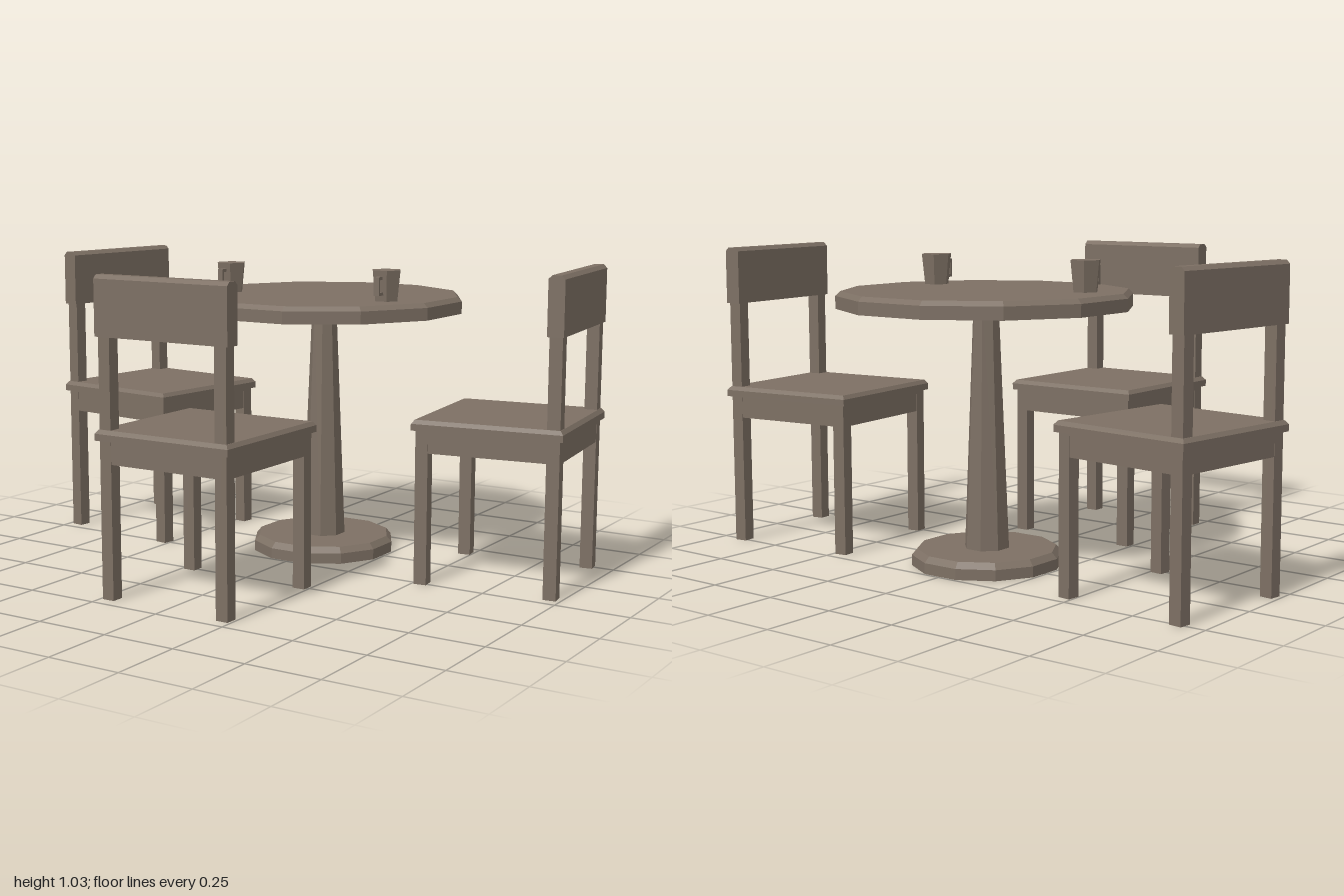
import * as THREE from 'three';

const wood = new THREE.MeshStandardMaterial({ color: 0x7d7064, flatShading: true });
wood.name = 'brown wood';

function add(parent, name, geometry, x = 0, y = 0, z = 0) {
  const mesh = new THREE.Mesh(geometry, wood);
  mesh.name = name;
  mesh.position.set(x, y, z);
  parent.add(mesh);
  return mesh;
}

// Box whose top edge is bevelled: insetX / insetZ pull in the top ring
function bevelBox(w, h, d, bevel, insetX, insetZ) {
  const g = new THREE.BoxGeometry(w, h, d, 1, 2, 1);
  const p = g.attributes.position;
  for (let i = 0; i < p.count; i++) {
    const x = p.getX(i), y = p.getY(i), z = p.getZ(i);
    if (Math.abs(y) < 1e-6) p.setY(i, h / 2 - bevel);
    else if (y > 0) p.setXYZ(i, x - Math.sign(x) * insetX, y, z - Math.sign(z) * insetZ);
  }
  g.computeVertexNormals();
  return g;
}

// Faceted solid of revolution, closed at both ends, with a flat side facing front
function faceted(profile, sides) {
  const pts = profile.map(([r, y]) => new THREE.Vector2(r / Math.cos(Math.PI / sides), y));
  pts.unshift(new THREE.Vector2(0, profile[0][1]));
  pts.push(new THREE.Vector2(0, profile[profile.length - 1][1]));
  return new THREE.LatheGeometry(pts, sides, Math.PI / sides);
}

// Chair with its backrest towards local +z
function createChair(name) {
  const chair = new THREE.Group();
  chair.name = name;
  const leg = 0.043, off = 0.219;
  for (const s of [-1, 1]) {
    add(chair, 'frontLeg', new THREE.BoxGeometry(leg, 0.515, leg), s * off, 0.2575, -off);
    add(chair, 'backLeg', new THREE.BoxGeometry(leg, 0.845, leg), s * off, 0.4225, off);
    const span = 2 * off - leg;
    add(chair, 'sideApron', new THREE.BoxGeometry(0.025, 0.075, span), s * 0.227, 0.4775, 0);
    add(chair, 'crossApron', new THREE.BoxGeometry(span, 0.075, 0.025), 0, 0.4775, s * 0.227);
  }
  add(chair, 'seat', bevelBox(0.505, 0.035, 0.505, 0.013, 0.01, 0.01), 0, 0.5315, 0);
  add(chair, 'backrest', bevelBox(0.5, 0.192, 0.054, 0.012, 0, 0.012), 0, 0.937, off);
  return chair;
}

// Six-sided cup with a squared loop handle towards +z
function createCup(name) {
  const cup = new THREE.Group();
  cup.name = name;
  const body = new THREE.CylinderGeometry(0.053, 0.042, 0.104, 6);
  body.rotateY(Math.PI / 6);
  add(cup, 'cupBody', body, 0, 0.052, 0);
  add(cup, 'handleGrip', new THREE.BoxGeometry(0.02, 0.062, 0.008), 0, 0.053, 0.065);
  for (const y of [0.027, 0.079])
    add(cup, 'handleArm', new THREE.BoxGeometry(0.02, 0.01, 0.03), 0, y, 0.049);
  return cup;
}

export function createModel() {
  const model = new THREE.Group();
  model.name = 'diningSet';

  // Round pedestal table
  const table = new THREE.Group();
  table.name = 'table';
  table.position.z = -0.25;
  add(table, 'tableTop', faceted([[0.455, 0.855], [0.472, 0.855], [0.472, 0.897], [0.457, 0.912]], 12));
  add(table, 'pedestal', faceted([[0.071, 0.04], [0.04, 0.86]], 8));
  add(table, 'base', faceted([[0.242, 0], [0.242, 0.036], [0.225, 0.056]], 12));
  model.add(table);

  // Cups
  for (const s of [-1, 1]) {
    const cup = createCup(s > 0 ? 'leftCup' : 'rightCup');
    cup.position.set(s * 0.313, 0.911, -0.131);
    model.add(cup);
  }

  // Chairs around the table
  const frontChair = createChair('frontChair');
  frontChair.position.z = 0.467;
  model.add(frontChair);
  for (const s of [-1, 1]) {
    const chair = createChair(s > 0 ? 'leftChair' : 'rightChair');
    chair.position.set(s * 0.718, 0, -0.25);
    chair.rotation.y = s * THREE.MathUtils.degToRad(97);
    model.add(chair);
  }
  return model;
}
